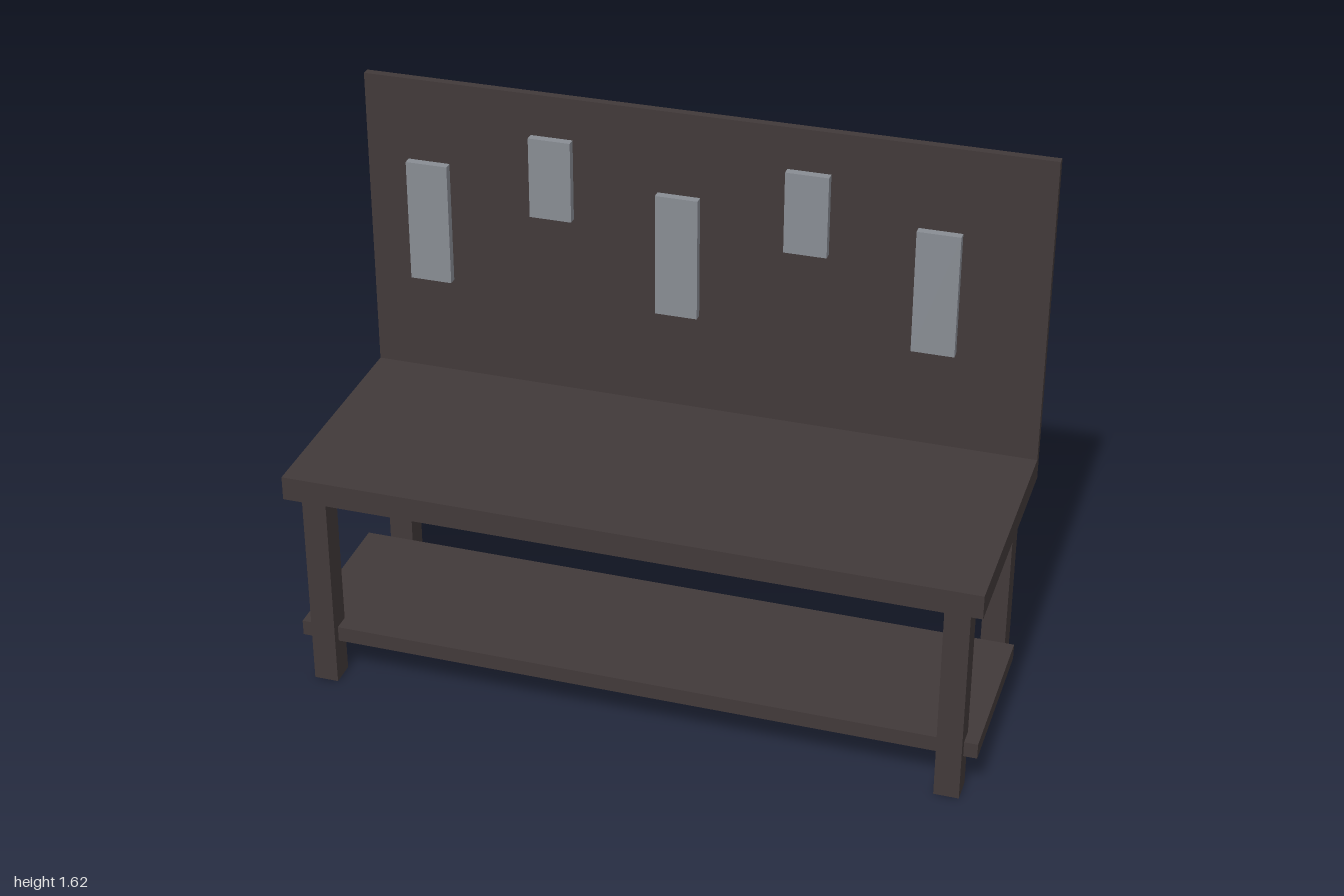
import * as THREE from 'three';

export function createModel() {
  const wood = new THREE.MeshStandardMaterial({ name: 'dark wood', color: 0x413939 });
  const steel = new THREE.MeshStandardMaterial({ name: 'grey steel', color: 0x888c93 });
  const bench = new THREE.Group();
  bench.name = 'workbench';

  // Box given by its extents on each axis
  const box = (name, material, [x0, x1], [y0, y1], [z0, z1]) => {
    const mesh = new THREE.Mesh(new THREE.BoxGeometry(x1 - x0, y1 - y0, z1 - z0), material);
    mesh.name = name;
    mesh.position.set((x0 + x1) / 2, (y0 + y1) / 2, (z0 + z1) / 2);
    bench.add(mesh);
  };

  // Worktop, lower shelf and upright tool board
  box('worktop', wood, [-1, 1], [0.628, 0.7], [-0.375, 0.375]);
  box('lowerShelf', wood, [-1, 1], [0.128, 0.175], [-0.187, 0.313]);
  box('backBoard', wood, [-1, 1], [0.7, 1.625], [-0.375, -0.35]);

  // Four legs
  for (const [side, x] of [['Left', 0.925], ['Right', -0.925]]) {
    for (const [end, z] of [['front', 0.3], ['back', -0.3]]) {
      box(`${end}${side}Leg`, wood, [x - 0.036, x + 0.036], [0, 0.628], [z - 0.0375, z + 0.0375]);
    }
  }

  // Hanging tools, alternating long and short
  for (let i = 0; i < 5; i++) {
    const x = -0.8125 + i * 0.375;
    const height = i % 2 ? [1.255, 1.5] : [1.003, 1.375];
    box(`hangingTool${i + 1}`, steel, [x - 0.0625, x + 0.0625], height, [-0.35, -0.325]);
  }

  return bench;
}
